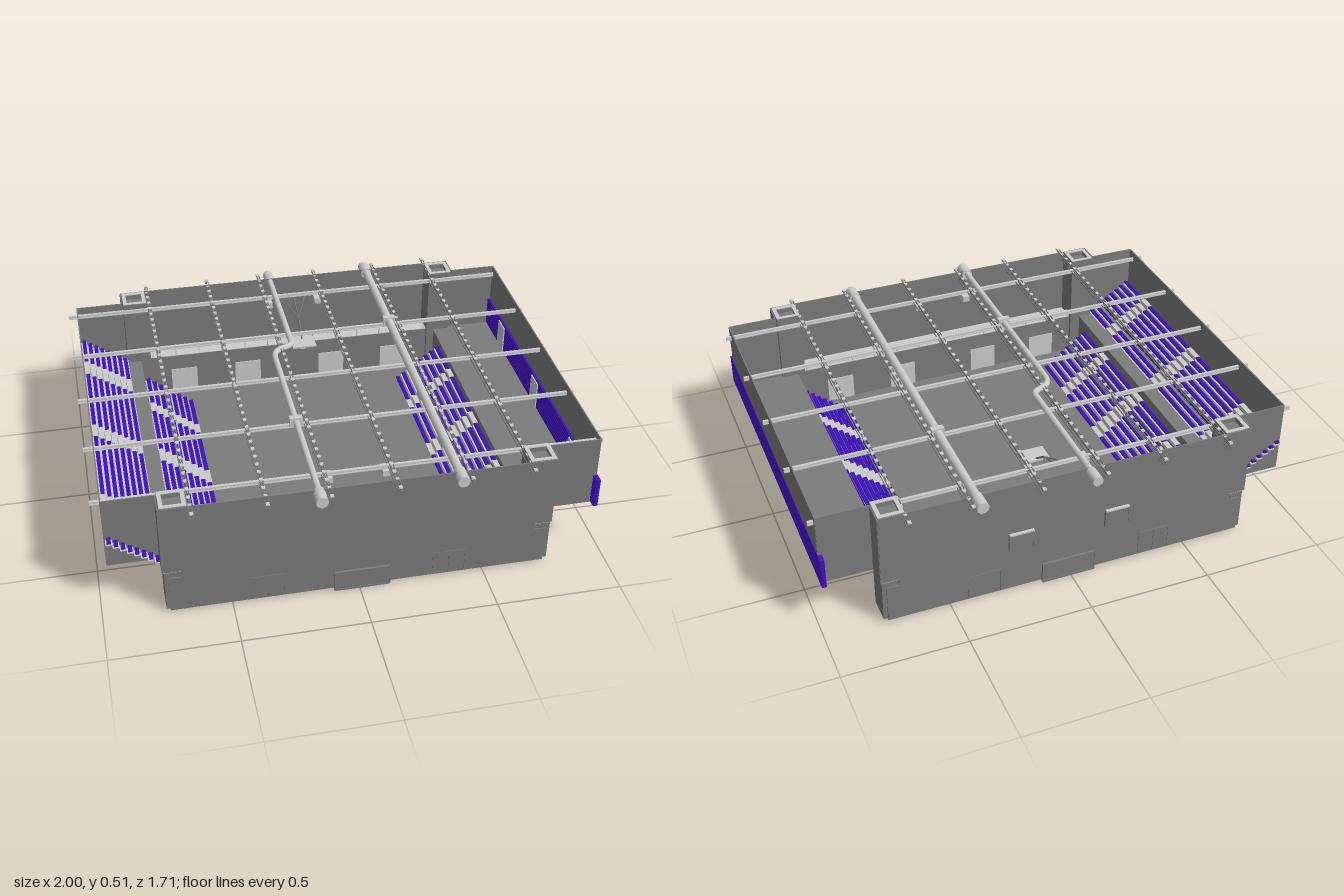
import * as THREE from 'three';

const light = new THREE.MeshStandardMaterial({ color: 0xcccccc });
const dark = new THREE.MeshStandardMaterial({ color: 0x7c7c7c });
const violet = new THREE.MeshStandardMaterial({ color: 0x3c12b8 });

function group(parent, name) {
  const g = new THREE.Group();
  g.name = name;
  parent.add(g);
  return g;
}

// Box given by its bounds
function box(parent, name, x0, x1, y0, y1, z0, z1, mat = dark) {
  const m = new THREE.Mesh(new THREE.BoxGeometry(x1 - x0, y1 - y0, z1 - z0), mat);
  m.position.set((x0 + x1) / 2, (y0 + y1) / 2, (z0 + z1) / 2);
  m.name = name;
  parent.add(m);
  return m;
}

// Round bar between two points
function bar(parent, name, a, b, r, mat = light, sides = 6) {
  const p = new THREE.Vector3(...a), q = new THREE.Vector3(...b);
  const d = q.clone().sub(p);
  const m = new THREE.Mesh(new THREE.CylinderGeometry(r, r, d.length(), sides), mat);
  m.position.copy(p).add(q).multiplyScalar(0.5);
  m.quaternion.setFromUnitVectors(new THREE.Vector3(0, 1, 0), d.normalize());
  m.name = name;
  parent.add(m);
}

// Raked rows of planks from a high outer edge to a low inner edge, cut by aisle stairs
function bleacher(parent, name, xHigh, xLow, yHigh, yLow, z0, z1, aisles) {
  const g = group(parent, name), rows = 8;
  const step = (xLow - xHigh) / rows, w = Math.abs(step);
  for (let i = 0; i < rows; i++) {
    const xc = xHigh + step * (i + 0.5);
    const y = yHigh + (yLow - yHigh) * i / (rows - 1);
    let start = z0;
    for (const [a, b] of [...aisles, [z1, z1]]) {
      box(g, 'seatPlank', xc - w * 0.32, xc + w * 0.32, y - 0.005, y + 0.003, start, a, violet);
      box(g, 'footBoard', xc - w * 0.5, xc + w * 0.5, y - 0.013, y - 0.009, start, a, light);
      if (b > a) box(g, 'aisleStep', xc - w * 0.45, xc + w * 0.45, y - 0.012, y + 0.004, a, b, light);
      start = b;
    }
  }
}

// Ladder truss running along z
function truss(parent, x) {
  const g = group(parent, 'roofTruss');
  const z0 = -0.84, z1 = 0.83, n = 34, dz = (z1 - z0) / n;
  for (const y of [0.474, 0.5])
    for (const s of [-1, 1]) box(g, 'chord', x + s * 0.006 - 0.0015, x + s * 0.006 + 0.0015, y - 0.002, y + 0.002, z0, z1, dark);
  for (let i = 0; i <= n; i++) {
    const z = z0 + i * dz;
    box(g, 'rung', x - 0.007, x + 0.007, 0.498, 0.503, z - 0.008, z + 0.008, light);
    if (i < n) bar(g, 'web', [x, i % 2 ? 0.474 : 0.5, z], [x, i % 2 ? 0.5 : 0.474, z + dz], 0.002, dark, 4);
  }
}

// Framed double door or window on a wall facing z
function opening(parent, name, xc, w, y0, y1, z, leaves = 2) {
  const g = group(parent, name), t = 0.004;
  for (let i = 0; i <= leaves; i++) {
    const x = xc - w / 2 + w * i / leaves;
    box(g, 'jamb', x - t / 2, x + t / 2, y0, y1, z - 0.005, z + 0.005, dark);
  }
  box(g, 'lintel', xc - w / 2, xc + w / 2, y1 - t, y1, z - 0.005, z + 0.005, dark);
  box(g, 'panel', xc - w / 2, xc + w / 2, y0, y1, z - 0.003, z + 0.003, dark);
}

export function createModel() {
  const model = new THREE.Group();
  model.name = 'sportsHall';
  const T = 0.005, top = 0.505, mid = 0.2;

  // Lower storey: floor, recessed long sides, wider corner blocks
  const shell = group(model, 'shell');
  box(shell, 'hallFloor', -0.7, 0.7, 0.01, 0.016, -0.79, 0.79);
  for (const s of [-1, 1]) {
    const xs = s < 0 ? -0.74 : 0.75;
    const x0 = Math.min(s * 0.7, xs), x1 = Math.max(s * 0.7, xs);
    box(shell, 'lowerSideWall', s * 0.7 - T / 2, s * 0.7 + T / 2, 0.01, mid, -0.79, 0.79);
    for (const e of [-1, 1]) {
      const z0 = e < 0 ? -0.79 : 0.64;
      box(shell, 'cornerBlock', x0, x1, 0.01, 0.17, z0, z0 + 0.15);
    }
  }

  // Front and back ends: stepped outer wall, inner wall, ledge between
  for (const e of [-1, 1]) {
    const end = group(model, e > 0 ? 'frontEnd' : 'backEnd');
    const z = e * 0.79, zi = e * 0.7;
    box(end, 'lowerWall', -0.74, 0.75, 0.01, 0.17, z - T / 2, z + T / 2);
    box(end, 'neckWall', -0.69, 0.7, 0.17, mid, z - T / 2, z + T / 2);
    box(end, 'upperWall', -0.76, 0.77, mid, top, z - T / 2, z + T / 2);
    box(end, 'innerWall', -0.7, 0.7, 0.016, mid, zi - T / 2, zi + T / 2);
    box(end, 'ledge', -0.76, 0.77, mid - 0.004, mid + 0.002, Math.min(z, zi), Math.max(z, zi), light);
    box(end, 'ledgeRail', -0.64, 0.65, mid + 0.036, mid + 0.04, zi - 0.002, zi + 0.002, light);
    for (let i = 0; i <= 12; i++) {
      const x = -0.64 + i * 1.29 / 12;
      box(end, 'railPost', x - 0.002, x + 0.002, mid, mid + 0.038, zi - 0.002, zi + 0.002, light);
    }
    for (const x of [-0.5, -0.2, 0.2, 0.5]) {
      const zp = e * 0.694;
      box(end, 'innerDoor', x - 0.06, x + 0.06, 0.016, 0.13, zp - 0.002, zp + 0.002, light);
    }
    // Outer doors and entrance porch
    for (const x of [-0.36, 0.36]) opening(end, 'sideDoor', x, 0.13, 0.015, 0.12, z);
    opening(end, 'entrance', 0.01, 0.22, 0.004, 0.09, e * 0.797, 1);
    box(end, 'entranceRoof', -0.1, 0.12, 0.086, 0.092, e * 0.796 - 0.006, e * 0.796 + 0.006);
    box(end, 'entranceStep', -0.1, 0.12, 0, 0.008, e * 0.796 - 0.006, e * 0.796 + 0.006);
    if (e < 0) for (const x of [-0.19, 0.21]) {
      opening(end, 'upperDoor', x, 0.1, mid, 0.28, -0.797, 1);
      box(end, 'upperDoorHood', x - 0.05, x + 0.05, 0.276, 0.282, -0.805, -0.79, light);
    }
    // Hollow corner shafts
    for (const s of [-1, 1]) {
      const xc = s < 0 ? -0.703 : 0.715, zc = e * 0.735, h = 0.052;
      const shaft = group(end, 'cornerShaft');
      for (const k of [-1, 1]) {
        box(shaft, 'shaftWall', xc + k * (h - 0.006) - 0.006, xc + k * (h - 0.006) + 0.006, 0.016, top, zc - h, zc + h);
        box(shaft, 'shaftWall', xc - h, xc + h, 0.016, top, zc + k * (h - 0.006) - 0.006, zc + k * (h - 0.006) + 0.006);
        box(shaft, 'shaftRim', xc + k * 0.043 - 0.008, xc + k * 0.043 + 0.008, top - 0.002, top + 0.002, zc - 0.05, zc + 0.05, light);
        box(shaft, 'shaftRim', xc - 0.05, xc + 0.05, top - 0.002, top + 0.002, zc + k * 0.043 - 0.008, zc + k * 0.043 + 0.008, light);
      }
      box(shaft, 'shaftCap', xc - 0.04, xc + 0.04, top - 0.03, top - 0.026, zc - 0.04, zc + 0.04);
    }
  }

  // Overhanging side wings
  for (const s of [-1, 1]) {
    const wing = group(model, s > 0 ? 'leftWing' : 'rightWing');
    const xo = s < 0 ? -0.96 : 0.975, xi = s < 0 ? -0.76 : 0.77;
    box(wing, 'outerWall', xo - T / 2, xo + T / 2, mid, top, -0.7, 0.7);
    box(wing, 'wingFloor', Math.min(xo, s * 0.695), Math.max(xo, s * 0.695), mid - 0.004, mid + 0.002, -0.7, 0.7);
    for (const e of [-1, 1]) {
      box(wing, 'endWall', Math.min(xo, xi), Math.max(xo, xi), mid, top, e * 0.7 - T / 2, e * 0.7 + T / 2);
      box(wing, 'returnWall', xi - T / 2, xi + T / 2, mid, top, Math.min(e * 0.7, e * 0.79), Math.max(e * 0.7, e * 0.79));
    }
  }

  // Seating: raked stands, with the upper stand on +x folded flat
  const hallAisles = [[-0.385, -0.32], [-0.035, 0.05], [0.325, 0.39]];
  bleacher(model, 'hallStandRight', -0.69, -0.475, 0.165, 0.02, -0.585, 0.59, hallAisles);
  bleacher(model, 'hallStandLeft', 0.7, 0.49, 0.165, 0.02, -0.585, 0.59, hallAisles);
  bleacher(model, 'upperStand', -0.957, -0.755, 0.332, 0.215, -0.715, 0.735,
    [[-0.52, -0.42], [-0.03, 0.05], [0.44, 0.51]]);
  const folded = group(model, 'foldedStand');
  for (let i = 0; i < 9; i++) {
    const y = 0.205 + i * 0.0145;
    box(folded, 'foldedRow', 0.962, 0.98, y, y + 0.011, -0.74, 0.74, violet);
  }
  box(folded, 'foldedBack', 0.964, 0.97, mid, 0.33, -0.72, 0.72, violet);
  for (const z of [-0.47, 0, 0.47]) box(folded, 'foldedAisle', 0.957, 0.965, mid, 0.325, z - 0.04, z + 0.04, light);
  for (const z of [-0.72, 0.72]) box(folded, 'foldedEnd', 0.964, 0.977, mid, 0.33, z - 0.011, z + 0.011, light);

  // Roof steel: cross beams along x, ladder trusses along z
  for (const z of [-0.68, -0.345, -0.01, 0.325, 0.66]) {
    box(model, 'crossBeam', -1, 1, 0.464, 0.468, z - 0.006, z + 0.006, light);
    box(model, 'crossBeam', -1, 1, 0.476, 0.48, z - 0.006, z + 0.006, light);
    box(model, 'crossBeamWeb', -1, 1, 0.468, 0.476, z - 0.002, z + 0.002, light);
  }
  for (const x of [-0.64, -0.36, -0.12, 0.14, 0.42, 0.665]) truss(model, x);

  // Air ducts: one with an offset bend, one straight
  const path = new THREE.CurvePath();
  const V = (x, z) => new THREE.Vector3(x, 0.492, z);
  path.add(new THREE.LineCurve3(V(-0.07, -0.86), V(-0.07, -0.26)));
  path.add(new THREE.CubicBezierCurve3(V(-0.07, -0.26), V(-0.07, -0.19), V(-0.16, -0.25), V(-0.16, -0.13)));
  path.add(new THREE.LineCurve3(V(-0.16, -0.13), V(-0.16, 0.85)));
  const duct = new THREE.Mesh(new THREE.TubeGeometry(path, 120, 0.013, 12), light);
  duct.name = 'bentDuct';
  model.add(duct);
  bar(model, 'straightDuct', [0.385, 0.49, -0.84], [0.385, 0.49, 0.82], 0.018, light, 14);
  for (const [x, z, r] of [[-0.07, -0.825, 0.021], [-0.16, 0.815, 0.024], [0.385, -0.815, 0.024], [0.385, 0.8, 0.024]])
    bar(model, 'ductEnd', [x, 0.488, z - 0.035], [x, 0.488, z + 0.035], r, light, 14);
  for (const [x, z] of [[-0.16, 0.325], [0.385, -0.345]])
    box(model, 'ductClamp', x - 0.026, x + 0.026, 0.472, 0.512, z - 0.012, z + 0.012, light);

  // Raised ball backboard on struts, and small wall brackets
  const hoop = group(model, 'backboard');
  box(hoop, 'board', -0.033, 0.073, 0.35, 0.358, -0.495, -0.415, light);
  const ring = new THREE.Mesh(new THREE.TorusGeometry(0.016, 0.002, 6, 16), light);
  ring.position.set(0.02, 0.335, -0.455);
  ring.name = 'ring';
  hoop.add(ring);
  for (const dx of [-0.05, 0, 0.05]) bar(hoop, 'strut', [0.02 + dx, 0.46, -0.68], [0.02, 0.42, -0.56], 0.003, dark);
  bar(hoop, 'arm', [0.02, 0.42, -0.56], [0.02, 0.355, -0.48], 0.004, dark);
  for (const z of [-0.66, 0.655]) for (const x of [-0.1, 0.125])
    box(model, 'wallBracket', x - 0.015, x + 0.015, 0.44, 0.465, z - 0.025, z + 0.025, light);
  return model;
}
